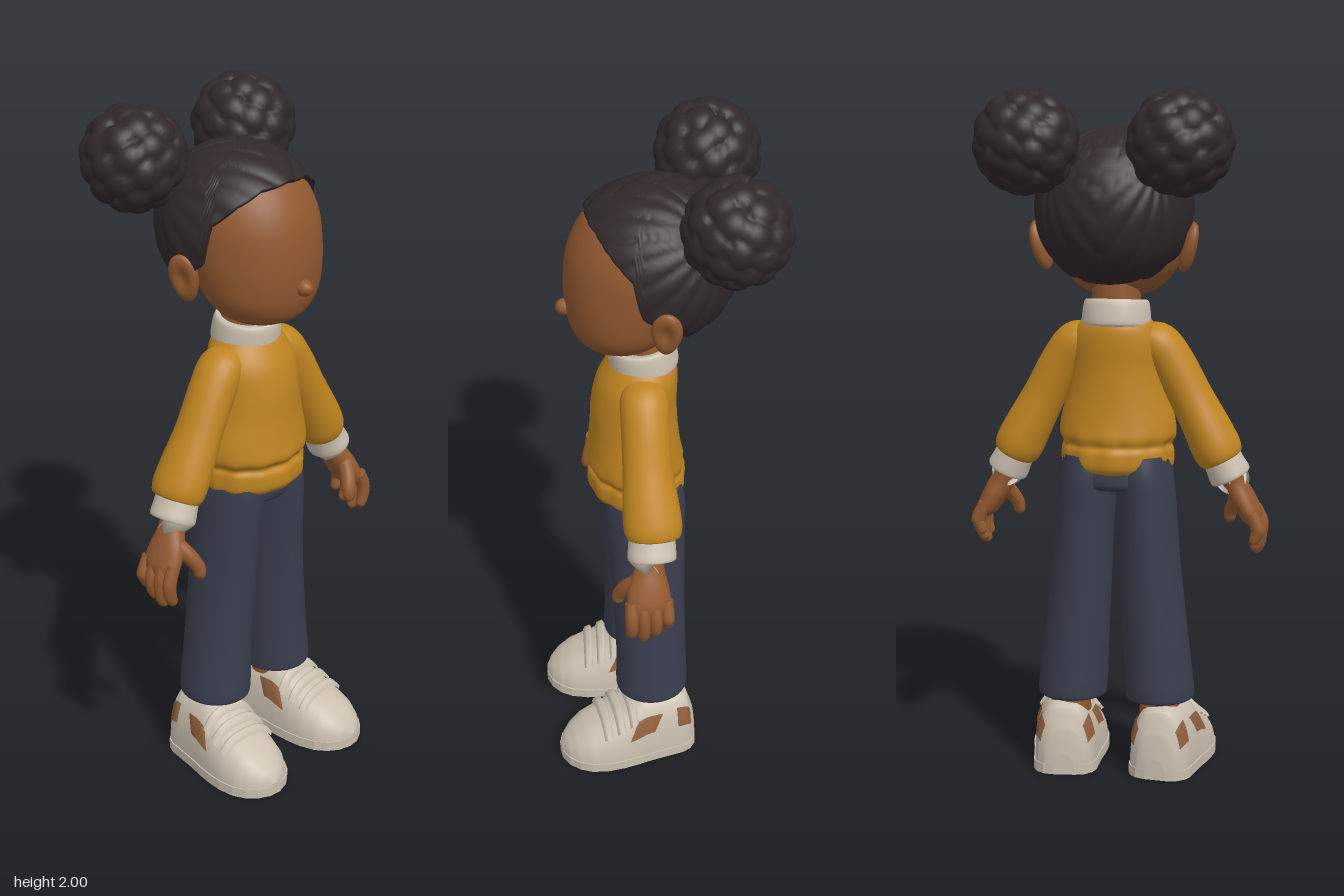
import * as THREE from 'three';
import { mergeVertices } from 'three/addons/utils/BufferGeometryUtils.js';

const V = (x, y, z) => new THREE.Vector3(x, y, z);
const mat = (name, color, side = THREE.FrontSide) => {
  const m = new THREE.MeshStandardMaterial({ color, side });
  m.name = name;
  return m;
};

// Surface through rows of points; optionally closed around and capped at the ends
function grid(rows, closed = true, caps = true) {
  const pos = [], idx = [], n = rows[0].length;
  rows.forEach(r => r.forEach(p => pos.push(p.x, p.y, p.z)));
  for (let i = 0; i < rows.length - 1; i++)
    for (let j = 0; j < (closed ? n : n - 1); j++) {
      const a = i * n + j, b = i * n + (j + 1) % n;
      idx.push(a, b, b + n, a, b + n, a + n);
    }
  if (caps) [rows[0], rows[rows.length - 1]].forEach((r, end) => {
    const s = pos.length / 3, c = V(0, 0, 0);
    r.forEach(p => { pos.push(p.x, p.y, p.z); c.addScaledVector(p, 1 / n); });
    pos.push(c.x, c.y, c.z);
    for (let j = 0; j < n; j++) {
      const k = (j + 1) % n;
      end ? idx.push(s + n, s + j, s + k) : idx.push(s + n, s + k, s + j);
    }
  });
  const g = new THREE.BufferGeometry();
  g.setAttribute('position', new THREE.Float32BufferAttribute(pos, 3));
  g.setIndex(idx);
  g.computeVertexNormals();
  return g;
}

// Smooth interpolation through rows of numbers
function smooth(keys, steps = 5) {
  const out = [], at = i => keys[Math.min(Math.max(i, 0), keys.length - 1)];
  for (let i = 0; i < keys.length - 1; i++)
    for (let s = 0; s < steps; s++) {
      const t = s / steps;
      out.push(keys[i].map((b, k) => {
        const a = at(i - 1)[k], c = at(i + 1)[k], d = at(i + 2)[k];
        return 0.5 * (2 * b + (c - a) * t + (2 * a - 5 * b + 4 * c - d) * t * t + (3 * b - a - 3 * c + d) * t ** 3);
      }));
    }
  out.push(keys[keys.length - 1]);
  return out;
}

// Rounded limb through keys [x, y, z, side radius, depth radius, ripple]; flat keeps sections level
function limb(keys, flat = false, n = 28) {
  const k = smooth(keys), c = k.map(p => V(p[0], p[1], p[2]));
  return grid(k.map((p, i) => {
    const T = flat ? V(0, 1, 0) : c[Math.min(i + 1, c.length - 1)].clone().sub(c[Math.max(i - 1, 0)]).normalize();
    const v = T.clone().cross(V(0, 0, 1)).normalize(), u = v.clone().cross(T);
    return Array.from({ length: n }, (_, j) => {
      const a = j / n * Math.PI * 2, w = 1 + (p[5] || 0) * Math.cos(12 * a);
      return c[i].clone().addScaledVector(u, Math.max(p[4], 0.001) * w * Math.cos(a))
        .addScaledVector(v, Math.max(p[3], 0.001) * w * Math.sin(a));
    });
  }));
}

// Level body section from height, half width, back z and front z
const body = (y, rx, zb, zf, ripple = 0) => [0, y, (zb + zf) / 2, rx, (zf - zb) / 2, ripple];

// Linear lookup in a table sorted by its first column
function lookup(table, t, col) {
  let i = 0;
  while (i < table.length - 2 && t > table[i + 1][0]) i++;
  const a = table[i], b = table[i + 1];
  return THREE.MathUtils.lerp(a[col], b[col], THREE.MathUtils.clamp((t - a[0]) / (b[0] - a[0]), 0, 1));
}

// Sphere whose points are moved by a rule
function shapedSphere(rule, w = 40, h = 28) {
  let g = new THREE.SphereGeometry(1, w, h);
  g.deleteAttribute('uv');
  g.deleteAttribute('normal');
  g = mergeVertices(g, 1e-4);
  const p = g.attributes.position, q = V(0, 0, 0);
  for (let i = 0; i < p.count; i++) {
    rule(q.fromBufferAttribute(p, i));
    p.setXYZ(i, q.x, q.y, q.z);
  }
  g.computeVertexNormals();
  return g;
}

// Scalp hair: drops to a hairline that varies around the head, strands gather at the buns
function hairCap() {
  const line = [[0, 1.815], [30, 1.805], [50, 1.77], [68, 1.715], [74, 1.6], [85, 1.57], [100, 1.52], [120, 1.47], [180, 1.45]];
  const d = V(0.62, 0.55, -0.56).normalize(), u = V(0, 1, 0).cross(d).normalize(), v = d.clone().cross(u);
  const n = 180, m = 36, rows = [];
  for (let i = -1; i <= m; i++) rows.push(Array.from({ length: n }, (_, j) => {
    const a = j / n * Math.PI * 2, deg = Math.abs(a > Math.PI ? a - 2 * Math.PI : a) * 180 / Math.PI;
    const lat0 = Math.asin((lookup(line, deg, 1) - 1.66) / 0.23);
    const lat = THREE.MathUtils.lerp(lat0, Math.PI / 2 - 0.005, Math.max(i, 0) / m);
    const q = V(Math.sin(a) * Math.cos(lat), Math.sin(lat), Math.cos(a) * Math.cos(lat));
    const e = V(Math.abs(q.x), q.y, q.z), phi = Math.atan2(e.dot(u), e.dot(v));
    const r = i < 0 ? 0.86 : 0.975 + 0.035 * Math.sqrt(Math.abs(Math.sin(phi * 9)));
    return V(q.x * 0.225 * r, 1.66 + q.y * 0.23 * r, q.z * (q.z > 0 ? 0.255 : 0.23) * r);
  }));
  return grid(rows, true, false);
}

// Bun made of many soft curls
function bunGeometry() {
  const curls = Array.from({ length: 46 }, (_, i) => {
    const y = 1 - (i + 0.5) / 23, a = i * 2.39996, r = Math.sqrt(1 - y * y);
    return V(r * Math.cos(a), y, r * Math.sin(a));
  });
  return shapedSphere(q => {
    const near = Math.min(...curls.map(c => c.distanceTo(q)));
    q.multiplyScalar(0.122 + 0.029 * Math.sqrt(Math.max(0, 1 - (near / 0.36) ** 2)));
  }, 72, 48);
}

// Shoe sections: z, half width, height
const shoeTable = [[-0.092, 0.03, 0.06], [-0.085, 0.058, 0.13], [-0.065, 0.08, 0.195], [-0.04, 0.09, 0.21], [0.07, 0.1, 0.215],
  [0.1, 0.105, 0.2], [0.15, 0.11, 0.168], [0.2, 0.11, 0.14], [0.25, 0.1, 0.115], [0.285, 0.08, 0.09], [0.31, 0.052, 0.065], [0.325, 0.015, 0.04]];
const shoePoint = (z, a, off = 0) => {
  const w = lookup(shoeTable, z, 1) + off, h = lookup(shoeTable, z, 2) + off, c = Math.cos(a), s = Math.sin(a);
  return V(w * Math.sign(c) * Math.abs(c) ** 0.75, s > 0 ? 0.004 + h * s ** 0.8 : 0.004, z);
};
const shoeBand = (z0, z1, a0, a1, off, skew = 0) => grid(Array.from({ length: 7 }, (_, i) =>
  Array.from({ length: 17 }, (_, j) => {
    const lift = off * (i % 6 ? 1 : 0.2), t = j / 16;
    return shoePoint(z0 + (z1 - z0) * i / 6 + skew * t, a0 + (a1 - a0) * t, lift);
  })), false, false);

export function createModel() {
  const model = new THREE.Group();
  const skin = mat('skin', 0x91582f), hair = mat('hair', 0x30282b), hairRim = hair;
  const yellow = mat('sweaterYellow', 0xbf8420), navy = mat('trouserNavy', 0x3a3d4d);
  const cream = mat('cream', 0xcabfaf, THREE.DoubleSide), tan = mat('shoeTan', 0x8f5f3c, THREE.DoubleSide);
  const add = (name, geo, m, parent = model, x = 0, y = 0, z = 0) => {
    const mesh = new THREE.Mesh(geo, m);
    mesh.name = name;
    mesh.position.set(x, y, z);
    parent.add(mesh);
    return mesh;
  };

  // Head
  add('head', limb([body(1.4, 0.01, 0.09, 0.11), body(1.406, 0.07, 0.03, 0.165), body(1.435, 0.125, -0.02, 0.215),
    body(1.485, 0.167, -0.06, 0.24), body(1.55, 0.185, -0.1, 0.25), body(1.62, 0.192, -0.14, 0.251), body(1.7, 0.19, -0.16, 0.24),
    body(1.77, 0.168, -0.15, 0.21), body(1.82, 0.125, -0.11, 0.165), body(1.86, 0.02, 0, 0.05)], true, 48), skin);
  add('nose', shapedSphere(q => q.multiply(V(0.024, 0.024, 0.03)), 20, 14), skin, model, 0, 1.53, 0.246);
  add('neck', new THREE.CylinderGeometry(0.068, 0.075, 0.16, 28), skin, model, 0, 1.38, 0.03);
  add('scalpHair', hairCap(), hairRim);

  // Sweater body and collar
  add('sweater', limb([body(0.9, 0.152, -0.068, 0.18, 0.01), body(0.92, 0.163, -0.082, 0.195, 0.015), body(0.96, 0.163, -0.082, 0.195, 0.02),
    body(0.98, 0.157, -0.073, 0.185, 0.025), body(1.005, 0.17, -0.078, 0.2, 0.01), body(1.05, 0.167, -0.07, 0.195), body(1.12, 0.15, -0.062, 0.188),
    body(1.2, 0.138, -0.058, 0.183), body(1.27, 0.135, -0.06, 0.167), body(1.32, 0.115, -0.058, 0.14), body(1.36, 0.08, -0.04, 0.11)], true, 72), yellow);
  add('collar', limb([[0, -0.04, 0, 0.09, 0.088], [0, -0.03, 0, 0.1, 0.097], [0, 0.02, 0, 0.096, 0.094],
    [0, 0.038, 0, 0.088, 0.086], [0, 0.034, 0, 0.07, 0.07]], true, 36), cream, model, 0, 1.358, 0.036).rotation.x = 0.12;

  // Hips
  add('hips', limb([body(0.85, 0.1, -0.05, 0.14), body(0.87, 0.155, -0.07, 0.16), body(0.95, 0.15, -0.065, 0.165)], true), navy);

  const bun = bunGeometry();
  for (const s of [1, -1]) {
    const half = new THREE.Group();
    half.name = s > 0 ? 'leftSide' : 'rightSide';
    half.scale.x = s;
    model.add(half);

    add('hairBun', bun, hair, half, 0.214, 1.85, -0.178);

    // Ear with a hollow on its outer face
    const ear = add('ear', shapedSphere(q => {
      const dent = q.x > 0 ? 0.7 * Math.exp(-((q.y - 0.1) ** 2 + q.z ** 2) * 4) : 0;
      q.set((q.x - dent) * 0.026, q.y * 0.073, q.z * (0.042 + 0.008 * q.y));
    }), skin, half, 0.212, 1.552, 0.005);
    ear.rotation.set(-0.1, -0.35, -0.25);

    // Sleeve and cuff
    add('sleeve', limb([[0.07, 1.3, 0.045, 0.03, 0.05], [0.115, 1.275, 0.05, 0.06, 0.068], [0.16, 1.215, 0.055, 0.064, 0.068],
      [0.215, 1.115, 0.058, 0.063, 0.07], [0.265, 1.02, 0.057, 0.069, 0.08], [0.292, 0.965, 0.055, 0.071, 0.082],
      [0.306, 0.937, 0.056, 0.062, 0.072], [0.307, 0.935, 0.056, 0.045, 0.05]]), yellow, half);
    add('cuff', limb([[0.298, 0.955, 0.06, 0.055, 0.064], [0.315, 0.918, 0.062, 0.058, 0.067], [0.331, 0.885, 0.065, 0.06, 0.068],
      [0.333, 0.881, 0.065, 0.042, 0.048]]), cream, half);

    // Hand
    add('palm', limb([[0.325, 0.9, 0.068, 0.036, 0.042], [0.342, 0.862, 0.073, 0.035, 0.042], [0.368, 0.815, 0.08, 0.036, 0.058],
      [0.394, 0.768, 0.083, 0.031, 0.062], [0.405, 0.745, 0.083, 0.018, 0.05]]), skin, half);
    for (let f = 0; f < 4; f++) {
      const z = 0.033 + f * 0.034, tip = [0.69, 0.665, 0.652, 0.668][f];
      add('finger', limb([[0.395, 0.785, z, 0.019, 0.017], [0.414, 0.74, z, 0.021, 0.019], [0.413, tip + 0.035, z, 0.019, 0.018],
        [0.402, tip + 0.008, z, 0.014, 0.014], [0.398, tip, z, 0.002, 0.002]], false, 14), skin, half);
    }
    add('thumb', limb([[0.362, 0.835, 0.1, 0.026, 0.026], [0.34, 0.8, 0.135, 0.023, 0.024], [0.322, 0.765, 0.155, 0.02, 0.02],
      [0.318, 0.738, 0.16, 0.016, 0.016], [0.318, 0.725, 0.16, 0.002, 0.002]], false, 14), skin, half);

    // Trouser leg and ankle
    add('trouserLeg', limb([[0.13, 0.228, 0.034, 0.085, 0.09], [0.13, 0.222, 0.034, 0.097, 0.102], [0.13, 0.245, 0.034, 0.102, 0.108],
      [0.122, 0.35, 0.034, 0.098, 0.105], [0.103, 0.6, 0.038, 0.088, 0.107], [0.09, 0.8, 0.044, 0.084, 0.115],
      [0.083, 0.89, 0.046, 0.082, 0.119], [0.08, 0.95, 0.048, 0.076, 0.11]], true, 36), navy, half);
    add('ankle', new THREE.CylinderGeometry(0.058, 0.06, 0.08, 20), skin, half, 0.133, 0.215, 0.015);

    // Shoe
    const shoe = new THREE.Group();
    shoe.name = 'shoe';
    shoe.position.x = 0.145;
    shoe.rotation.y = 0.1;
    half.add(shoe);
    const zs = smooth(shoeTable.map(r => [r[0]]), 4).map(r => r[0]);
    add('shoeUpper', grid(zs.map(z => Array.from({ length: 40 }, (_, j) => shoePoint(z, j / 20 * Math.PI)))), cream, shoe);
    const edge = shoeTable.map(r => new THREE.Vector2(r[1] + 0.003, -r[0]));
    const outline = new THREE.Shape([...edge, ...edge.map(p => new THREE.Vector2(-p.x, p.y)).reverse()]);
    add('sole', new THREE.ExtrudeGeometry(outline, { depth: 0.03, bevelEnabled: false }).rotateX(-Math.PI / 2), cream, shoe, 0, 0.003, 0);
    for (const z of [0.1, 0.14, 0.18]) add('lace', shoeBand(z, z + 0.026, 0.24 * Math.PI, 0.76 * Math.PI, 0.011), cream, shoe);
    for (const flip of [0, 1]) {
      const a = t => (flip ? 1 - t : t) * Math.PI;
      add('sidePatch', shoeBand(0.05, 0.13, a(0.14), a(0.25), 0.004, -0.03), tan, shoe);
      add('heelPatch', shoeBand(-0.07, -0.025, a(0.14), a(0.27), 0.004), tan, shoe);
    }
    for (const [z, r] of [[0.2, 0.072], [-0.01, 0.055]])
      add('solePatch', new THREE.CircleGeometry(r, 28).rotateX(Math.PI / 2), tan, shoe, 0, 0.001, z);
  }
  return model;
}
